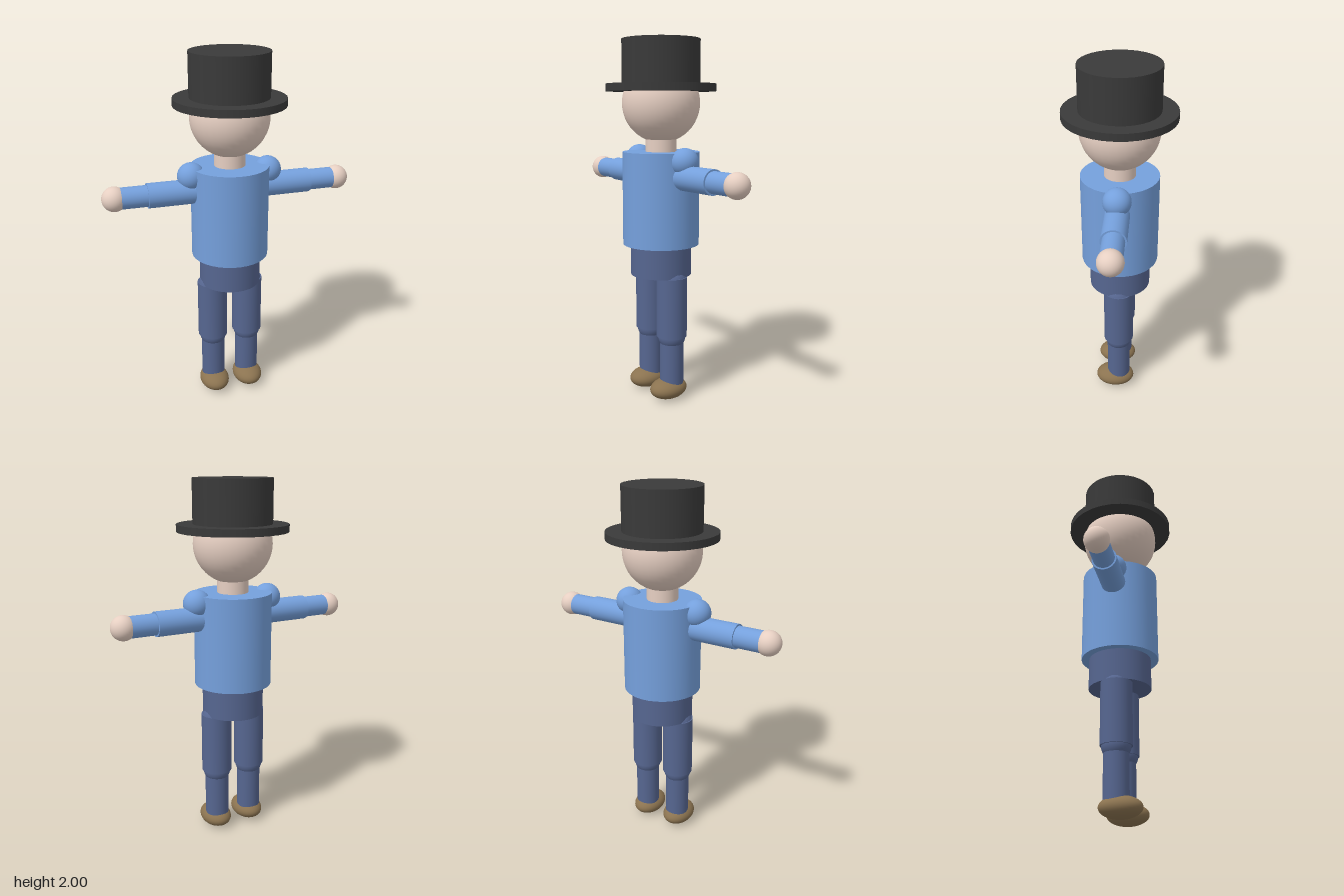
import * as THREE from 'three';

const material = (color) => new THREE.MeshStandardMaterial({ color });

export function createModel() {
  const model = new THREE.Group();
  model.name = 'figure';

  const felt = material(0x3a3a3a);
  const skin = material(0xe6cfc2);
  const jacket = material(0x75a0dc);
  const trousers = material(0x566690);
  const leather = material(0x8b7350);

  const add = (name, geometry, mat, x, y, z = 0) => {
    const mesh = new THREE.Mesh(geometry, mat);
    mesh.name = name;
    mesh.position.set(x, y, z);
    model.add(mesh);
    return mesh;
  };
  // Upright cylinder between two heights
  const column = (name, mat, r, y0, y1, x = 0) =>
    add(name, new THREE.CylinderGeometry(r, r, y1 - y0, 32), mat, x, (y0 + y1) / 2);
  // Sideways cylinder between two x positions
  const bar = (name, mat, r, x0, x1, y) => {
    const mesh = add(name, new THREE.CylinderGeometry(r, r, Math.abs(x1 - x0), 32), mat, (x0 + x1) / 2, y);
    mesh.rotation.z = Math.PI / 2;
  };
  const ball = (name, mat, r, x, y, z = 0) =>
    add(name, new THREE.SphereGeometry(r, 32, 24), mat, x, y, z);

  // Top hat
  column('hatCrown', felt, 0.213, 1.76, 2);
  column('hatBrim', felt, 0.3, 1.725, 1.765);

  // Head and body
  ball('head', skin, 0.213, 0, 1.662);
  column('neck', skin, 0.085, 1.39, 1.5);
  column('torso', jacket, 0.213, 0.885, 1.4);
  column('hips', trousers, 0.171, 0.712, 0.89);

  for (const [side, s] of [['left', 1], ['right', -1]]) {
    // Arm stretched out sideways
    ball(side + 'Shoulder', jacket, 0.075, s * 0.215, 1.355);
    bar(side + 'UpperArm', jacket, 0.067, s * 0.17, s * 0.455, 1.27);
    bar(side + 'Forearm', jacket, 0.058, s * 0.44, s * 0.62, 1.27);
    ball(side + 'Hand', skin, 0.067, s * 0.628, 1.27);

    // Leg and shoe
    const x = s * 0.104;
    ball(side + 'HipJoint', trousers, 0.085, x, 0.68);
    column(side + 'Thigh', trousers, 0.085, 0.37, 0.712, x);
    ball(side + 'Knee', trousers, 0.078, x, 0.37);
    column(side + 'Shin', trousers, 0.067, 0.08, 0.38, x);
    ball(side + 'Shoe', leather, 1, x, 0.062, 0.022).scale.set(0.085, 0.058, 0.113);
  }
  return model;
}
